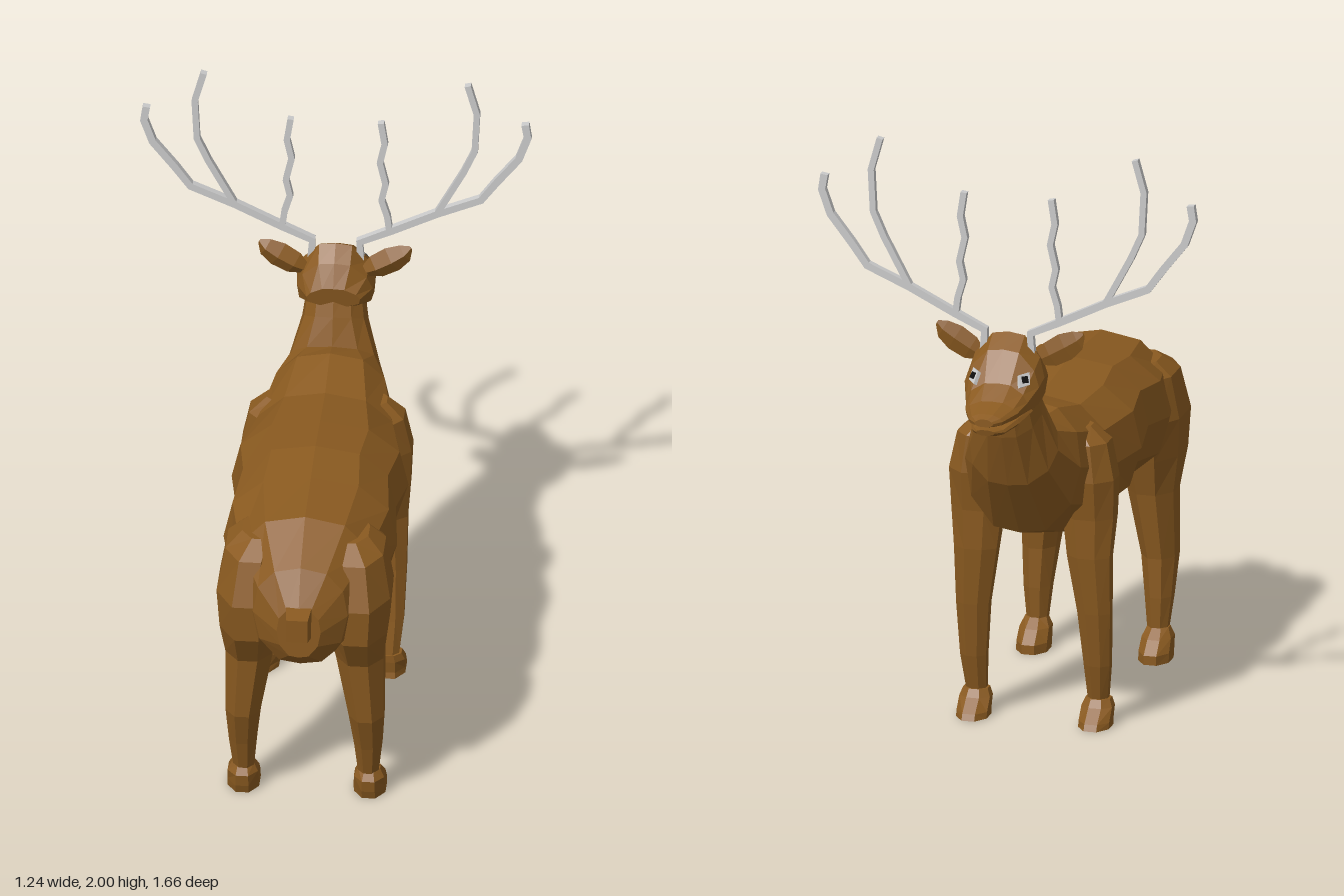
import * as THREE from 'three';

const hide = new THREE.MeshStandardMaterial({ color: 0x8a5a20, flatShading: true });
const grey = new THREE.MeshStandardMaterial({ color: 0xcccccc, flatShading: true });
const dark = new THREE.MeshStandardMaterial({ color: 0x111111, flatShading: true });

// Skin a list of equal-length rings of [x, y, z], with fan caps, facing outwards
function loft(name, rings, material = hide) {
  const n = rings[0].length;
  const tris = [];
  const mid = (r) => [0, 1, 2].map((k) => r.reduce((s, p) => s + p[k], 0) / n);
  const first = mid(rings[0]);
  const last = mid(rings[rings.length - 1]);
  for (let j = 0; j < n; j++) {
    const k = (j + 1) % n;
    for (let i = 0; i < rings.length - 1; i++) {
      const a = rings[i], b = rings[i + 1];
      tris.push([a[j], a[k], b[k]], [a[j], b[k], b[j]]);
    }
    const end = rings[rings.length - 1];
    tris.push([first, rings[0][k], rings[0][j]], [last, end[j], end[k]]);
  }
  const V = (p) => new THREE.Vector3(...p);
  const volume = tris.reduce((s, [a, b, c]) => s + V(a).dot(V(b).cross(V(c))), 0);
  if (volume < 0) tris.forEach((t) => t.reverse());
  const geometry = new THREE.BufferGeometry();
  geometry.setAttribute('position', new THREE.Float32BufferAttribute(tris.flat(2), 3));
  geometry.computeVertexNormals();
  const mesh = new THREE.Mesh(geometry, material);
  mesh.name = name;
  return mesh;
}

// Symmetric ring between a top and a bottom point in the x = 0 plane
const half = [[0, 0], [0.55, 0.05], [0.9, 0.22], [1, 0.48], [0.86, 0.76], [0.45, 0.97], [0, 1]];
function spineRing([zTop, yTop, zBot, yBot, w], profile = half) {
  const at = ([u, t], s) => [s * u * w, yTop + (yBot - yTop) * t, zTop + (zBot - zTop) * t];
  return [...profile.map((p) => at(p, 1)), ...profile.slice(1, -1).reverse().map((p) => at(p, -1))];
}

// Level eight-sided ring for a leg: height, back z, front z, inner x, outer x, front rise
function legRing([y, zb, zf, xi, xo, rise = 0], s) {
  return Array.from({ length: 8 }, (_, i) => {
    const a = (i + 0.5) * Math.PI / 4;
    const c = Math.cos(a) / 0.924, d = Math.sin(a) / 0.924;
    return [s * ((xi + xo) / 2 + c * (xo - xi) / 2), y + rise * d, (zb + zf) / 2 + d * (zf - zb) / 2];
  });
}

// Square rod along a polyline in a plane of constant z
function rod(name, points, z, r) {
  const rings = points.map((p, i) => {
    const a = points[Math.max(i - 1, 0)], b = points[Math.min(i + 1, points.length - 1)];
    const l = Math.hypot(b[0] - a[0], b[1] - a[1]);
    const nx = -(b[1] - a[1]) / l * r, ny = (b[0] - a[0]) / l * r;
    return [[1, 1], [1, -1], [-1, -1], [-1, 1]].map(([u, v]) => [p[0] + u * nx, p[1] + u * ny, z + v * 0.011]);
  });
  return loft(name, rings, grey);
}

export function createModel() {
  const deer = new THREE.Group();
  deer.name = 'deer';

  // Trunk and neck: top z, top y, bottom z, bottom y, half width
  deer.add(loft('body', [
    [0.765, 0.85, 0.77, 0.67, 0.07],
    [0.7, 0.96, 0.71, 0.61, 0.15],
    [0.54, 1.05, 0.58, 0.57, 0.23],
    [0.33, 1.065, 0.38, 0.605, 0.275],
    [0.17, 1.08, 0.18, 0.64, 0.255],
    [0.01, 1.07, 0.01, 0.61, 0.28],
    [-0.17, 1.06, -0.2, 0.61, 0.235],
    [-0.34, 1.1, -0.42, 0.68, 0.19],
    [-0.41, 1.08, -0.56, 0.88, 0.145],
    [-0.44, 1.17, -0.63, 1.06, 0.105],
    [-0.48, 1.28, -0.65, 1.15, 0.09],
  ].map((r) => spineRing(r))));

  // Head and jaw
  const skull = [[0, 0], [0.42, 0.03], [0.85, 0.28], [1, 0.52], [0.95, 0.8], [0.5, 0.98], [0, 1]];
  deer.add(loft('head', [
    [-0.45, 1.27, -0.46, 1.2, 0.085],
    [-0.49, 1.34, -0.53, 1.15, 0.12],
    [-0.54, 1.385, -0.6, 1.13, 0.125],
    [-0.605, 1.345, -0.64, 1.135, 0.122],
    [-0.675, 1.255, -0.69, 1.15, 0.1],
    [-0.74, 1.215, -0.75, 1.155, 0.085],
    [-0.81, 1.195, -0.81, 1.155, 0.055],
    [-0.835, 1.185, -0.835, 1.16, 0.03],
  ].map((r) => spineRing(r, skull))));
  deer.add(loft('jaw', [
    [-0.6, 1.17, -0.6, 1.125, 0.095],
    [-0.7, 1.16, -0.7, 1.115, 0.08],
    [-0.78, 1.145, -0.78, 1.115, 0.055],
    [-0.82, 1.145, -0.815, 1.125, 0.03],
  ].map((r) => spineRing(r))));

  // Tail
  deer.add(loft('tail', [[0.72, 0.85, 0.72, 0.73], [0.77, 0.85, 0.77, 0.745], [0.83, 0.845, 0.83, 0.765]]
    .map(([zt, yt, zb, yb], i) => [0.045, -0.045].flatMap((x, k) => {
      const w = x * (1 - i * 0.12);
      return k ? [[w, yb, zb], [w, yt, zt]] : [[w, yt, zt], [w, yb, zb]];
    }))));

  for (const s of [1, -1]) {
    const side = s > 0 ? 'left' : 'right';
    // Legs face -z
    deer.add(loft(side + 'FrontLeg', [
      [1.0, -0.2, -0.29, 0.1, 0.19],
      [0.95, -0.16, -0.32, 0.1, 0.245],
      [0.83, -0.16, -0.33, 0.09, 0.27],
      [0.7, -0.175, -0.31, 0.1, 0.265],
      [0.57, -0.205, -0.305, 0.115, 0.255],
      [0.38, -0.205, -0.285, 0.145, 0.252],
      [0.2, -0.19, -0.26, 0.16, 0.245],
      [0.085, -0.175, -0.235, 0.167, 0.232],
    ].map((r) => legRing(r, s))));
    deer.add(loft(side + 'FrontHoof', [
      [0.085, -0.17, -0.24, 0.16, 0.24],
      [0.06, -0.17, -0.255, 0.15, 0.25],
      [0.02, -0.175, -0.3, 0.15, 0.25],
      [0, -0.17, -0.31, 0.15, 0.25],
    ].map((r) => legRing(r, s))));
    deer.add(loft(side + 'HindLeg', [
      [0.985, 0.58, 0.42, 0.08, 0.2],
      [0.94, 0.65, 0.38, 0.08, 0.25],
      [0.8, 0.7, 0.37, 0.08, 0.275],
      [0.67, 0.69, 0.4, 0.08, 0.265],
      [0.55, 0.62, 0.43, 0.1, 0.25],
      [0.33, 0.605, 0.46, 0.14, 0.25],
      [0.2, 0.56, 0.46, 0.155, 0.242],
      [0.09, 0.53, 0.465, 0.165, 0.23],
    ].map((r) => legRing(r, s))));
    deer.add(loft(side + 'HindHoof', [
      [0.1, 0.525, 0.465, 0.165, 0.235],
      [0.07, 0.545, 0.43, 0.152, 0.248],
      [0.03, 0.54, 0.39, 0.15, 0.25],
      [0, 0.53, 0.39, 0.15, 0.25],
    ].map((r) => legRing(r, s))));

    // Ears: centre x, centre y, half width
    deer.add(loft(side + 'Ear', [[0.095, 1.295, 0.02], [0.13, 1.315, 0.042], [0.18, 1.345, 0.046], [0.22, 1.37, 0.033], [0.24, 1.39, 0.008]]
      .map(([x, y, w]) => [[-0.5, 0.85, 0], [0, 0, 0.55], [0.5, -0.85, 0], [0, 0, -0.25]]
        .map(([u, v, d]) => [s * (x + u * w), y + v * w, -0.525 + d * w]))));

    // Eyes: flat diamonds laid on the slope of the brow
    const eye = new THREE.Group();
    eye.name = side + 'Eye';
    for (const [r, lift, mat, name] of [[0.034, 0, grey, 'eyeWhite'], [0.015, 0.005, dark, 'pupil']]) {
      const part = new THREE.Mesh(new THREE.CylinderGeometry(r, r, 0.012, 4), mat);
      part.name = name;
      part.position.y = lift;
      part.scale.x = name === 'pupil' ? 1 : 0.7;
      eye.add(part);
    }
    eye.position.set(s * 0.08, 1.265, -0.653);
    eye.quaternion.setFromUnitVectors(new THREE.Vector3(0, 1, 0), new THREE.Vector3(s * 0.68, 0.5, -0.54).normalize());
    deer.add(eye);

    // Antlers: main beam and two tines
    const antler = new THREE.Group();
    antler.name = side + 'Antler';
    const paths = {
      beam: [[0.08, 1.3], [0.075, 1.39], [0.17, 1.435], [0.32, 1.51], [0.46, 1.57], [0.51, 1.64], [0.58, 1.73], [0.608, 1.81], [0.6, 1.86]],
      innerTine: [[0.17, 1.435], [0.163, 1.49], [0.145, 1.55], [0.158, 1.61], [0.14, 1.69], [0.155, 1.76], [0.143, 1.84]],
      outerTine: [[0.32, 1.51], [0.36, 1.585], [0.405, 1.67], [0.44, 1.75], [0.447, 1.89], [0.418, 1.995]],
    };
    for (const [name, path] of Object.entries(paths)) {
      antler.add(rod(name, path.map(([x, y]) => [s * x, y]), -0.552, name === 'beam' ? 0.012 : 0.01));
    }
    deer.add(antler);
  }
  return deer;
}
